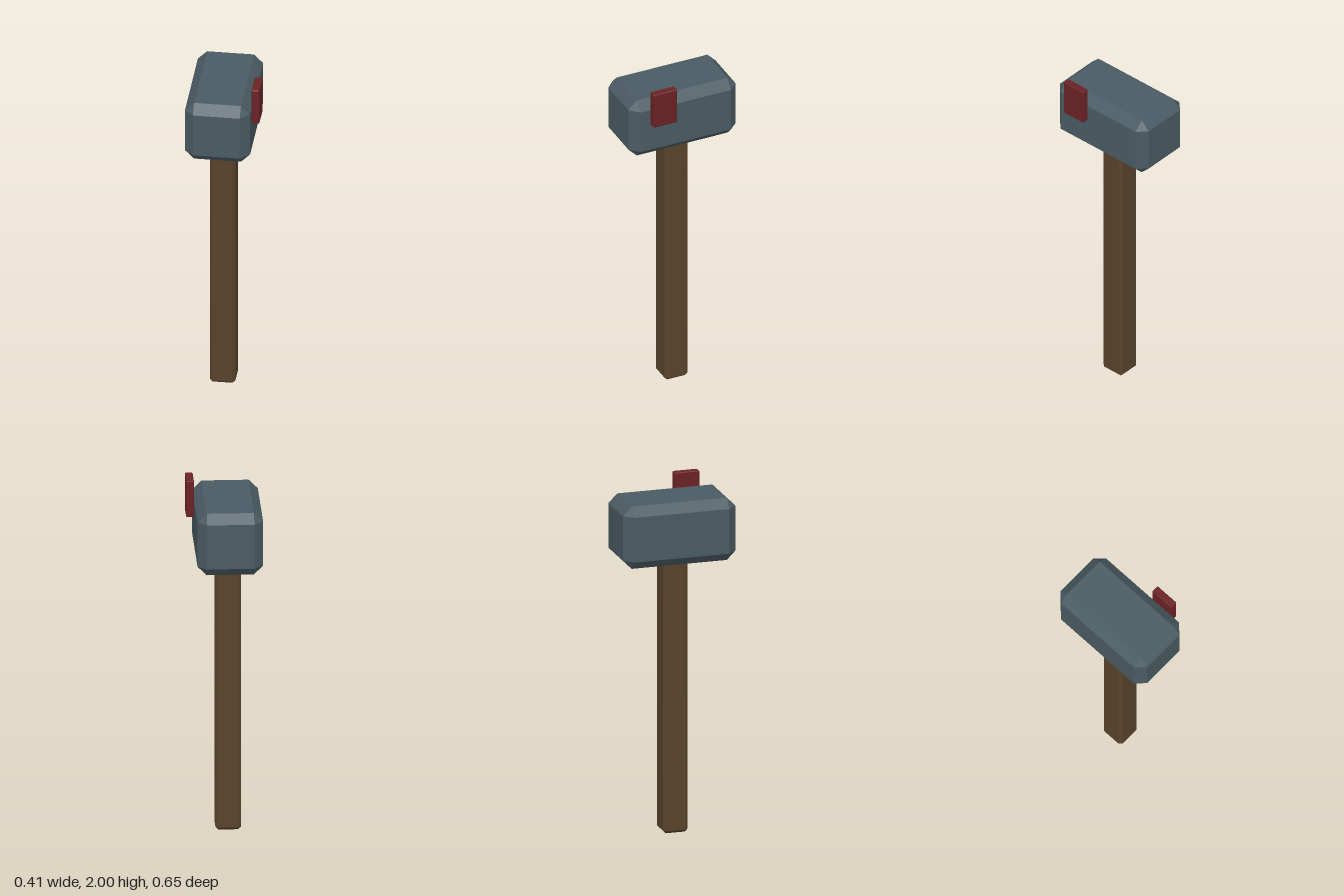
import * as THREE from 'three';
import { ConvexGeometry } from 'three/addons/geometries/ConvexGeometry.js';

// Box between two corners, every edge cut at 45 degrees by the given bevel
function bevelledBox(min, max, bevel) {
  const centre = new THREE.Vector3().addVectors(min, max).multiplyScalar(0.5);
  const half = new THREE.Vector3().subVectors(max, min).multiplyScalar(0.5);
  const points = [];
  for (const sx of [-1, 1]) for (const sy of [-1, 1]) for (const sz of [-1, 1]) {
    // three points per corner, one on each adjoining face
    for (let axis = 0; axis < 3; axis++) {
      const p = half.clone().subScalar(bevel);
      p.setComponent(axis, half.getComponent(axis));
      points.push(p.multiply(new THREE.Vector3(sx, sy, sz)));
    }
  }
  return new ConvexGeometry(points).translate(centre.x, centre.y, centre.z);
}

function material(name, color) {
  const m = new THREE.MeshStandardMaterial({ color, flatShading: true });
  m.name = name;
  return m;
}

export function createModel() {
  const group = new THREE.Group();
  group.name = 'hammer';

  const steel = material('steel', 0x4a5b63);
  const wood = material('wood', 0x59432b);
  const red = material('dark red', 0x6a2224);

  const add = (name, mat, min, max, bevel) => {
    const geometry = bevelledBox(new THREE.Vector3(...min), new THREE.Vector3(...max), bevel);
    const mesh = new THREE.Mesh(geometry, mat);
    mesh.name = name;
    group.add(mesh);
  };

  // Heavy block head, long from front to back
  add('head', steel, [-0.204, 1.57, -0.328], [0.159, 1.93, 0.326], 0.051);
  // Square shaft, its top end sunk into the head
  add('handle', wood, [-0.094, 0, -0.071], [0.048, 1.62, 0.071], 0.016);
  // Small plate standing against the left side of the head
  add('sidePlate', red, [0.16, 1.787, 0.072], [0.203, 2, 0.217], 0.004);

  return group;
}
